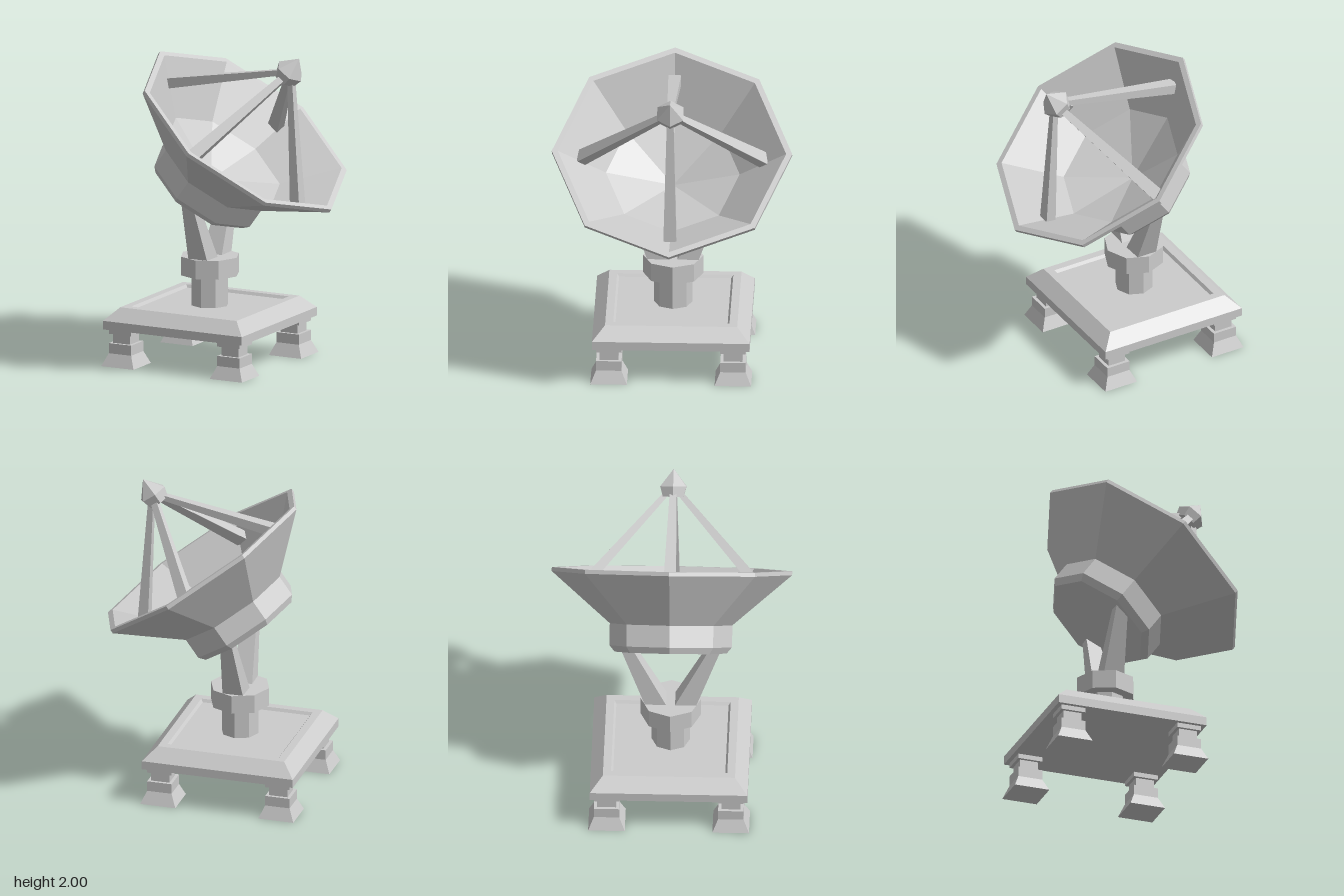
import * as THREE from 'three';

const material = new THREE.MeshStandardMaterial({ color: 0xcccccc, flatShading: true });

function add(parent, name, geometry) {
  const mesh = new THREE.Mesh(geometry, material);
  mesh.name = name;
  parent.add(mesh);
  return mesh;
}

// Faceted turned solid; profile runs from bottom axis, up the outside, to top axis
function turned(profile, sides) {
  const points = profile.map(([r, y]) => new THREE.Vector2(r, y));
  return new THREE.LatheGeometry(points, sides);
}

// Square stepped solid; profile holds half-widths and heights
function squareTurned(profile) {
  return turned(profile.map(([h, y]) => [h * Math.SQRT2, y]), 4).rotateY(Math.PI / 4);
}

// Tapered rectangular beam between two points; flat is thickness over width
function beam(a, b, halfA, halfB, flat) {
  const dir = b.clone().sub(a);
  const g = new THREE.CylinderGeometry(halfB * Math.SQRT2, halfA * Math.SQRT2, dir.length(), 4);
  g.rotateY(Math.PI / 4).scale(flat, 1, 1);
  const y = dir.normalize();
  const side = Math.abs(y.z) > 0.3 ? new THREE.Vector3(1, 0, 0) : new THREE.Vector3(0, 0, 1);
  const x = new THREE.Vector3().crossVectors(y, side).normalize();
  const z = new THREE.Vector3().crossVectors(x, y);
  g.applyMatrix4(new THREE.Matrix4().makeBasis(x, y, z));
  const mid = a.clone().add(b).multiplyScalar(0.5);
  return g.translate(mid.x, mid.y, mid.z);
}

export function createModel() {
  const model = new THREE.Group();
  model.name = 'dishAntenna';

  const stand = new THREE.Group();
  stand.name = 'stand';
  stand.position.x = -0.181;
  model.add(stand);

  // Bevelled platform with a shallow recess on top
  add(stand, 'platform', squareTurned([
    [0, 0.235], [0.495, 0.235], [0.495, 0.29], [0.415, 0.37], [0.365, 0.37], [0.352, 0.352], [0, 0.352],
  ]));

  // Four stepped feet
  const footGeometry = squareTurned([
    [0, 0], [0.115, 0], [0.08, 0.08], [0.08, 0.145], [0.06, 0.145],
    [0.06, 0.205], [0.08, 0.205], [0.08, 0.24], [0, 0.24],
  ]);
  for (const x of [-0.387, 0.387]) {
    for (const z of [-0.39, 0.39]) {
      add(stand, 'foot', footGeometry).position.set(x, 0, z);
    }
  }

  // Octagonal column with wider collar
  add(stand, 'column', turned([[0, 0.34], [0.12, 0.34], [0.12, 0.56], [0, 0.56]], 8));
  add(stand, 'collar', turned([[0, 0.55], [0.19, 0.55], [0.19, 0.67], [0, 0.67]], 8));

  // Pair of splayed, tapering support arms
  for (const s of [-1, 1]) {
    add(stand, 'supportArm', beam(
      new THREE.Vector3(0, 0.62, s * 0.075), new THREE.Vector3(0, 1.12, s * 0.295), 0.072, 0.035, 0.9));
  }

  // Tilted dish assembly, its origin at the centre of the rim
  const dish = new THREE.Group();
  dish.name = 'dishAssembly';
  dish.position.set(0.075, 1.497, 0);
  dish.rotation.z = -Math.PI / 5;
  model.add(dish);

  add(dish, 'backDrum', turned([
    [0, -0.524], [0.352, -0.524], [0.385, -0.484], [0.385, -0.346],
  ], 8));
  add(dish, 'reflector', turned([
    [0.385, -0.346], [0.755, -0.025], [0.755, 0], [0.717, 0], [0.42, -0.27], [0, -0.42],
  ], 8));

  // Four struts carrying the receiver
  for (let i = 0; i < 4; i++) {
    const a = (i * Math.PI) / 2;
    const out = new THREE.Vector3(Math.cos(a), 0, Math.sin(a));
    const foot = out.clone().multiplyScalar(0.58).add(new THREE.Vector3(-0.025, -0.135, 0));
    const top = out.clone().multiplyScalar(0.03).add(new THREE.Vector3(0.015, 0.49, 0));
    add(dish, 'strut', beam(foot, top, 0.041, 0.021, 0.8));
  }

  // Pointed receiver head
  const receiver = add(dish, 'receiver',
    turned([[0, 0.455], [0.075, 0.455], [0.095, 0.52], [0, 0.63]], 6).rotateY(Math.PI / 6));
  receiver.position.x = 0.013;

  return model;
}
